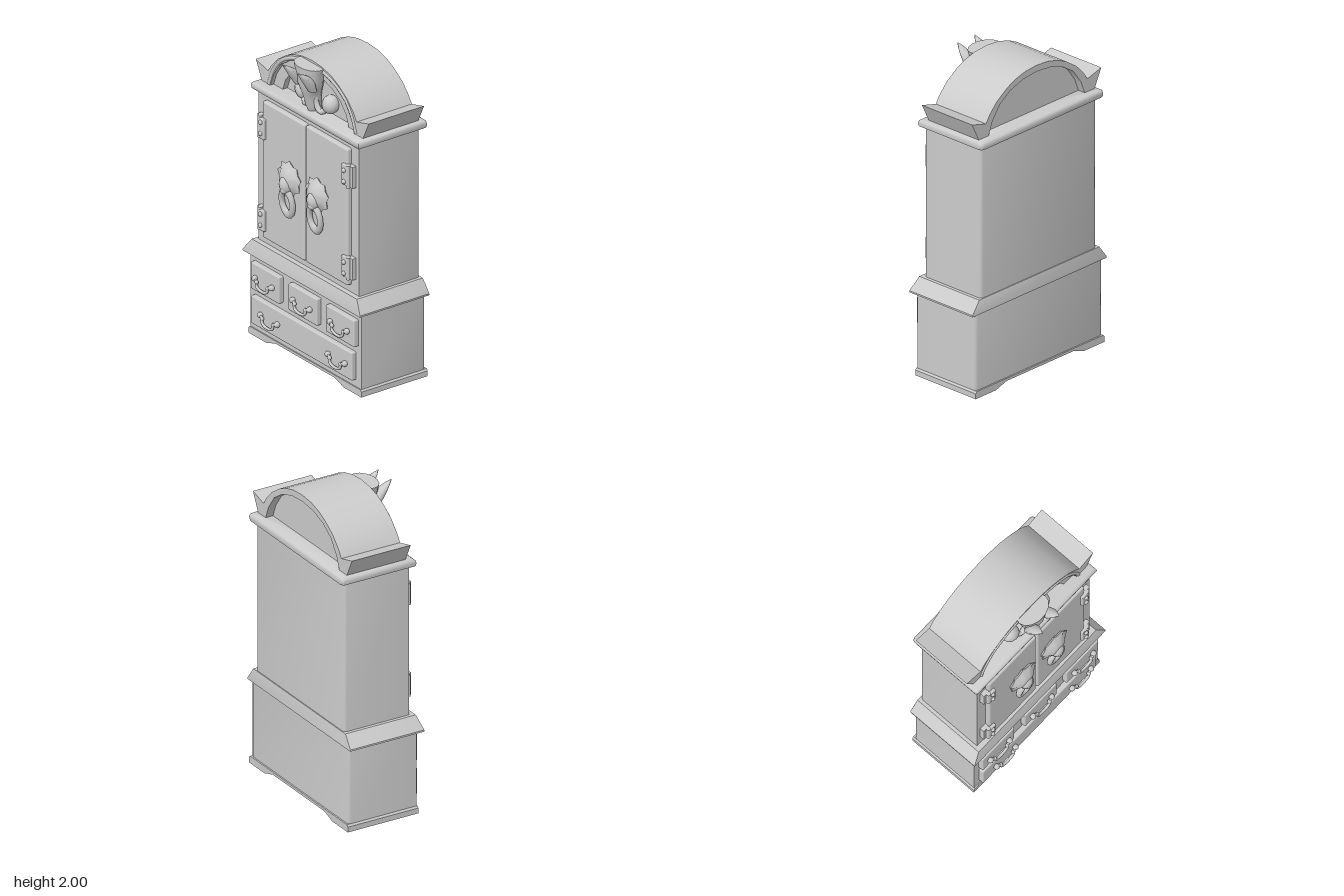
import * as THREE from 'three';
import { toCreasedNormals } from 'three/addons/utils/BufferGeometryUtils.js';
import { RoundedBoxGeometry } from 'three/addons/geometries/RoundedBoxGeometry.js';

const material = new THREE.MeshStandardMaterial({ color: 0xcccccc });

function add(parent, name, geometry, x = 0, y = 0, z = 0) {
  const mesh = new THREE.Mesh(geometry, material);
  mesh.name = name;
  mesh.position.set(x, y, z);
  parent.add(mesh);
  return mesh;
}

// Closed skin over rings of [x, y, z] points, counter-clockwise from above
function loft(rings, crease = 0.7) {
  const pos = [];
  const tri = (...p) => p.forEach((v) => pos.push(...v));
  const n = rings[0].length;
  const mid = (r) => [0, 1, 2].map((k) => r.reduce((s, p) => s + p[k], 0) / n);
  const first = rings[0], last = rings[rings.length - 1];
  for (let j = 0; j < n; j++) {
    const k = (j + 1) % n;
    for (let i = 0; i + 1 < rings.length; i++) {
      const a = rings[i], b = rings[i + 1];
      tri(a[j], a[k], b[k]);
      tri(a[j], b[k], b[j]);
    }
    tri(mid(first), first[k], first[j]);
    tri(mid(last), last[j], last[k]);
  }
  const g = new THREE.BufferGeometry();
  g.setAttribute('position', new THREE.Float32BufferAttribute(pos, 3));
  return toCreasedNormals(g, crease);
}

// Rectangular plan with softened rear corners
const plan = (y, w, back, front, c = 0.02) => [
  [w, y, front], [w, y, back + c], [w - c * 0.3, y, back + c * 0.3], [w - c, y, back],
  [-w + c, y, back], [-w + c * 0.3, y, back + c * 0.3], [-w, y, back + c], [-w, y, front],
];

// Round plan, radius varying with the angle
const round = (y, n, rx, rz, cx = 0, cz = 0, f = () => 1) =>
  Array.from({ length: n }, (_, i) => {
    const a = (i / n) * Math.PI * 2;
    return [cx + rx * f(i) * Math.cos(a), y, cz - rz * f(i) * Math.sin(a)];
  });

// Symmetric outline from right-half points, extruded along z
function archGeometry(outer, inner, z0, z1) {
  const mirror = (pts) => [...pts, ...pts.slice().reverse().filter((p) => p[0] > 0).map(([x, y]) => [-x, y])];
  const pts = [...mirror(outer), ...(inner ? mirror(inner).reverse() : [])];
  const shape = new THREE.Shape(pts.map(([x, y]) => new THREE.Vector2(x, y)));
  const g = new THREE.ExtrudeGeometry(shape, { depth: z1 - z0, bevelEnabled: false });
  g.translate(0, 0, z0);
  return toCreasedNormals(g, 0.6);
}

function hinge(parent, side, y) {
  const g = new THREE.Group();
  g.name = 'hinge';
  g.position.set(side * 0.43, y, 0.2);
  add(g, 'doorLeaf', new RoundedBoxGeometry(0.05, 0.135, 0.04, 2, 0.006), -side * 0.02, side * 0.006, 0.005);
  add(g, 'frameLeaf', new THREE.BoxGeometry(0.045, 0.14, 0.03), side * 0.018, 0, -0.01);
  add(g, 'barrel', new THREE.CylinderGeometry(0.014, 0.014, 0.145, 10), side * 0.008, 0, 0.012);
  for (const dy of [-0.037, 0.037])
    add(g, 'bolt', new THREE.SphereGeometry(0.015, 10, 8), -side * 0.016, dy, 0.026);
  parent.add(g);
}

function bailHandle(parent, x, y) {
  const g = new THREE.Group();
  g.name = 'drawerHandle';
  g.position.set(x, y, 0.232);
  const path = [[-0.075, 0, 0.012], [-0.058, -0.012, 0.018], [-0.05, -0.038, 0.02], [-0.025, -0.052, 0.02],
    [0.025, -0.052, 0.02], [0.05, -0.038, 0.02], [0.058, -0.012, 0.018], [0.075, 0, 0.012]];
  const curve = new THREE.CatmullRomCurve3(path.map((p) => new THREE.Vector3(...p)));
  add(g, 'bail', new THREE.TubeGeometry(curve, 24, 0.0095, 8));
  for (const s of [-1, 1]) {
    add(g, 'knob', new THREE.SphereGeometry(0.019, 12, 8), s * 0.084, 0, 0.01);
    add(g, 'collar', new THREE.SphereGeometry(0.013, 10, 8), s * 0.055, -0.012, 0.017);
  }
  parent.add(g);
}

function knocker(parent, x) {
  const g = new THREE.Group();
  g.name = 'doorKnocker';
  g.position.set(x, 1.185, 0.2);
  // scalloped shell with nine tips
  const scallop = (i) => (i % 2 ? 0.82 : 1);
  const soft = (i) => (i % 2 ? 0.9 : 1);
  const shell = loft([
    round(0, 18, 0.095, 0.095, 0, 0, scallop), round(0.02, 18, 0.118, 0.118, 0, 0, scallop),
    round(0.035, 18, 0.085, 0.085, 0, 0, soft), round(0.055, 18, 0.055, 0.055), round(0.064, 18, 0.025, 0.025),
  ], 0.9);
  shell.rotateX(Math.PI / 2).rotateZ(Math.PI / 2);
  add(g, 'shell', shell);
  add(g, 'face', new THREE.SphereGeometry(0.05, 14, 10), 0, -0.03, 0.04).scale.set(0.95, 1.2, 0.9);
  add(g, 'snout', new THREE.SphereGeometry(0.028, 12, 8), 0, -0.062, 0.055);
  const ring = add(g, 'ring', new THREE.TorusGeometry(0.053, 0.019, 10, 24), 0, -0.152, 0.035);
  ring.scale.set(1, 1.5, 1);
  ring.rotation.x = 0.1;
  parent.add(g);
}

export function createModel() {
  const model = new THREE.Group();
  model.name = 'wardrobe';

  // Base with bracket feet, carcass and mouldings
  add(model, 'base', archGeometry([[0.56, 0], [0.56, 0.035], [0.55, 0.047]],
    [[0.38, 0], [0.35, 0.012], [0.29, 0.03]], -0.29, 0.205));
  add(model, 'lowerCabinet', loft([plan(0.03, 0.55, -0.28, 0.198), plan(0.56, 0.55, -0.28, 0.198)], 1.0));
  add(model, 'waistMoulding', loft([plan(0.545, 0.583, -0.287, 0.232, 0.004), plan(0.556, 0.583, -0.287, 0.232, 0.004),
    plan(0.637, 0.522, -0.284, 0.21, 0.004)], 0.5));
  add(model, 'upperCabinet', loft([plan(0.62, 0.5, -0.278, 0.176), plan(1.64, 0.5, -0.278, 0.176)], 1.0));
  add(model, 'cornice', loft([plan(1.622, 0.515, -0.295, 0.188), plan(1.63, 0.531, -0.311, 0.203),
    plan(1.65, 0.535, -0.315, 0.207), plan(1.668, 0.531, -0.311, 0.203), plan(1.677, 0.518, -0.298, 0.19)], 0.9));

  // Doors, hinges and knockers
  for (const s of [-1, 1]) {
    add(model, 'door', new RoundedBoxGeometry(0.419, 0.905, 0.05, 2, 0.014), s * 0.2135, 1.137, 0.182);
    knocker(model, s * 0.138);
    for (const y of [0.81, 1.417]) hinge(model, s, y);
  }

  // Drawers
  for (const x of [-0.367, 0.009, 0.38]) {
    add(model, 'smallDrawer', new RoundedBoxGeometry(0.284, 0.177, 0.05, 2, 0.008), x, 0.411, 0.206);
    bailHandle(model, x, 0.412);
  }
  add(model, 'longDrawer', new RoundedBoxGeometry(1.005, 0.184, 0.05, 2, 0.008), -0.003, 0.185, 0.206);
  for (const x of [-0.313, 0.358]) bailHandle(model, x, 0.19);

  // Arched pediment: outer shell, stepped inner band, recessed panel
  const outer = [[0.5, 1.67], [0.561, 1.795], [0.44, 1.762], [0.41, 1.81], [0.345, 1.878], [0.26, 1.935],
    [0.19, 1.968], [0.1, 1.992], [0, 2]];
  const edge = [[0.42, 1.67], [0.385, 1.76], [0.32, 1.85], [0.23, 1.91], [0.12, 1.947], [0, 1.958]];
  const band = [[0.33, 1.67], [0.3, 1.75], [0.24, 1.82], [0.16, 1.87], [0.08, 1.893], [0, 1.9]];
  add(model, 'pedimentArch', archGeometry(outer, edge, -0.262, 0.15));
  add(model, 'pedimentBand', archGeometry(edge, band, 0, 0.125));
  add(model, 'pedimentPanel', archGeometry(edge, null, -0.21, 0.09));

  // Rolled rim along the front of the arch
  const half = edge.map(([x, y]) => new THREE.Vector3(x + 0.012, y + 0.012, 0.145));
  half[half.length - 1].x = 0;
  const rim = [...half, ...half.slice(0, -1).reverse().map((p) => new THREE.Vector3(-p.x, p.y, p.z))];
  add(model, 'archRim', new THREE.TubeGeometry(new THREE.CatmullRomCurve3(rim), 40, 0.014, 8));

  // Horned crest with side scrolls
  const crest = new THREE.Group();
  crest.name = 'crest';
  const profile = [[1.672, 0.03, 0.175], [1.72, 0.046, 0.196], [1.76, 0.042, 0.205], [1.81, 0.062, 0.222],
    [1.86, 0.088, 0.238], [1.9, 0.094, 0.242], [1.95, 0.108, 0.246], [1.985, 0.118, 0.25]];
  add(crest, 'head', loft(profile.map(([y, w, z]) => round(y, 14, w, (z - 0.09) / 2, 0, (z + 0.09) / 2)), 0.9));
  for (const s of [-1, 1]) {
    const horn = [[1.84, 0.028, 0.2], [1.9, 0.04, 0.228], [1.945, 0.034, 0.26], [1.972, 0.018, 0.292], [1.99, 0.002, 0.316]];
    add(crest, 'horn', loft(horn.map(([y, r, z], i) => round(y, 10, r, r * 0.9, s * (0.07 + i * 0.001), z)), 1.0));
    const scroll = add(crest, 'scroll', new THREE.SphereGeometry(0.06, 14, 10), s * 0.135, 1.752, 0.115);
    scroll.scale.set(0.95, 1.05, 0.85);
    scroll.rotation.z = s * -0.5;
    const stem = new THREE.CatmullRomCurve3([[0.11, 1.71, 0.13], [0.075, 1.69, 0.145], [0.04, 1.73, 0.15], [0.03, 1.79, 0.15]]
      .map(([x, y, z]) => new THREE.Vector3(s * x, y, z)));
    add(crest, 'scrollStem', new THREE.TubeGeometry(stem, 12, 0.018, 8));
  }
  model.add(crest);
  return model;
}
